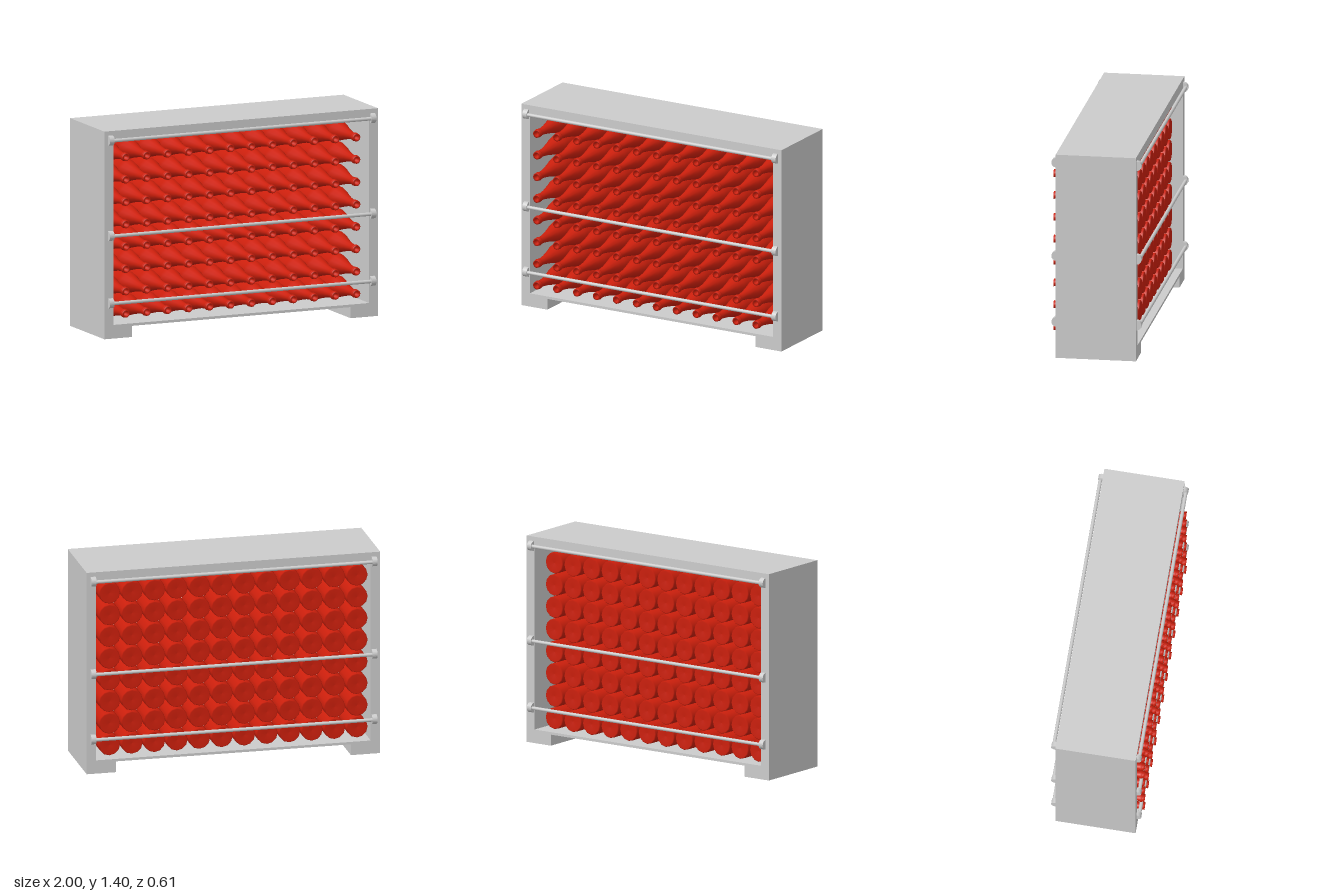
import * as THREE from 'three';

export function createModel() {
  const model = new THREE.Group();
  model.name = 'bottleRack';
  const grey = new THREE.MeshStandardMaterial({ color: 0xcccccc });
  const red = new THREE.MeshStandardMaterial({ color: 0xcc1f0c });
  const zBack = -0.272, zFront = 0.267;

  const add = (parent, geometry, material, name, x = 0, y = 0, z = 0) => {
    const mesh = new THREE.Mesh(geometry, material);
    mesh.name = name;
    mesh.position.set(x, y, z);
    parent.add(mesh);
    return mesh;
  };

  // Cabinet: open-ended frame with two feet
  const outline = new THREE.Shape([
    [-1, 0], [-0.8, 0], [-0.8, 0.075], [0.8, 0.075], [0.8, 0], [1, 0], [1, 1.4], [-1, 1.4],
  ].map(([x, y]) => new THREE.Vector2(x, y)));
  outline.holes.push(new THREE.Path([
    [-0.935, 0.092], [-0.935, 1.335], [0.935, 1.335], [0.935, 0.092],
  ].map(([x, y]) => new THREE.Vector2(x, y))));
  const frame = new THREE.ExtrudeGeometry(outline, { depth: zFront - zBack, bevelEnabled: false });
  add(model, frame, grey, 'cabinetFrame', 0, 0, zBack);

  // Retaining rails with half-round end brackets, front and back
  const railGeometry = new THREE.CylinderGeometry(0.012, 0.012, 1.9, 12).rotateZ(Math.PI / 2);
  const half = new THREE.Shape();
  half.absarc(0, 0, 0.033, 0, Math.PI, false);
  half.closePath();
  const bracketGeometry = new THREE.ExtrudeGeometry(half, { depth: 0.034, bevelEnabled: false, curveSegments: 12 })
    .translate(0, 0, -0.017)
    .rotateY(Math.PI / 2)
    .rotateX(Math.PI / 2);
  for (const side of [1, -1]) {
    for (const y of [1.337, 0.694, 0.24]) {
      const rail = new THREE.Group();
      rail.name = side > 0 ? 'frontRail' : 'backRail';
      rail.position.set(0, y, side > 0 ? zFront : zBack);
      if (side < 0) rail.rotation.y = Math.PI;
      add(rail, railGeometry, grey, 'railBar', 0, 0, 0.017);
      for (const x of [-0.957, 0.957]) add(rail, bracketGeometry, grey, 'railBracket', x);
      model.add(rail);
    }
  }

  // Bottle profile (radius, distance along the axis), base to mouth
  const profile = [
    [0, -0.195], [0.066, -0.202], [0.0725, -0.195], [0.0725, 0.0], [0.066, 0.04],
    [0.05, 0.1], [0.034, 0.17], [0.025, 0.23], [0.024, 0.274], [0.029, 0.277],
    [0.029, 0.288], [0.025, 0.291], [0.027, 0.306], [0.017, 0.306], [0.015, 0.27], [0, 0.27],
  ].map(([r, h]) => new THREE.Vector2(r, h));
  const bottleGeometry = new THREE.LatheGeometry(profile, 12).rotateX(Math.PI / 2);

  // Bottles lying in a grid, necks to the front
  const bottles = new THREE.Group();
  bottles.name = 'bottles';
  for (let row = 0; row < 8; row++) {
    for (let col = 0; col < 12; col++) {
      add(bottles, bottleGeometry, red, 'bottle', -0.86 + col * 0.1533, 0.168 + row * 0.1507, 0);
    }
  }
  model.add(bottles);
  return model;
}
